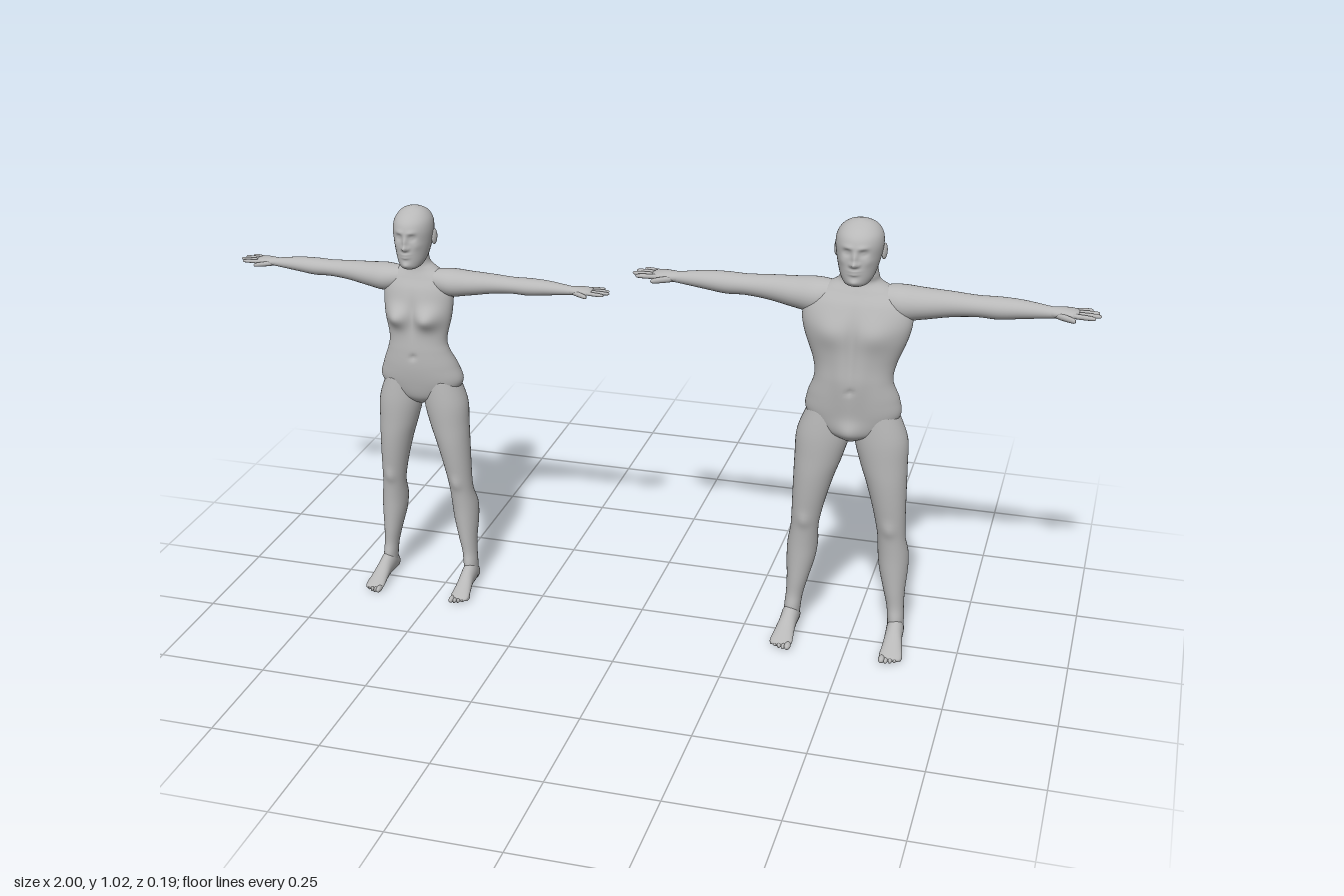
import * as THREE from 'three';

const skin = new THREE.MeshStandardMaterial({ color: 0xb8b8b8 });
skin.name = 'plain grey';

// Smooth interpolation between neighbouring cross-sections
function sample(rows, u) {
  const i = Math.min(Math.floor(u), rows.length - 2), t = u - i;
  const at = k => rows[Math.max(0, Math.min(rows.length - 1, k))];
  const [a, b, c, d] = [at(i - 1), at(i), at(i + 1), at(i + 2)];
  return b.map((_, k) => b[k] + 0.5 * t * (c[k] - a[k] + t * (2 * a[k] - 5 * b[k] + 4 * c[k] - d[k]
    + t * (3 * (b[k] - c[k]) + d[k] - a[k]))));
}

// Elliptical loft. A section is [position on axis, centre, half width, low edge, high edge].
// axis y: width x, edges z; axis x: width z, edges y; axis z: width x, edges y.
// A bump is [front 1 or back -1, x, y, radius x, radius y, height], mirrored in x.
function loft(name, axis, rows, { seg = 28, steps = 5, bumps = [] } = {}) {
  const place = { y: (t, a, b) => [a, t, b], x: (t, a, b) => [t, b, a], z: (t, a, b) => [a, b, t] }[axis];
  const pos = [], index = [], rings = (rows.length - 1) * steps;
  for (let i = 0; i <= rings; i++) {
    const [t, c, r, lo, hi] = sample(rows, i / steps);
    for (let j = 0; j < seg; j++) {
      const q = j / seg * Math.PI * 2, s = Math.sin(q);
      const p = place(t, c + Math.max(r, 0.0005) * Math.cos(q), (lo + hi) / 2 + (hi - lo) / 2 * s);
      for (const [side, x, y, rx, ry, h] of bumps) {
        const w = Math.sqrt(Math.max(0, side * s));
        const g = X => Math.exp(-(((X - x) / rx) ** 2) - ((p[1] - y) / ry) ** 2);
        p[2] += side * w * h * g(Math.abs(p[0]));
      }
      pos.push(...p);
    }
  }
  const flip = (axis === 'z' ? 1 : -1) * (rows[rows.length - 1][0] - rows[0][0]) < 0;
  const tri = (a, b, c) => flip ? index.push(a, c, b) : index.push(a, b, c);
  for (let i = 0; i < rings; i++) for (let j = 0; j < seg; j++) {
    const a = i * seg + j, b = i * seg + (j + 1) % seg;
    tri(a, b, a + seg);
    tri(b, b + seg, a + seg);
  }
  // Close both ends
  for (const [i, end] of [[0, 0], [rings, rows.length - 1]]) {
    const [t, c, , lo, hi] = rows[end], m = pos.length / 3;
    pos.push(...place(t, c, (lo + hi) / 2));
    for (let j = 0; j < seg; j++) {
      const a = i * seg + j, b = i * seg + (j + 1) % seg;
      i ? tri(a, b, m) : tri(b, a, m);
    }
  }
  const g = new THREE.BufferGeometry();
  g.setAttribute('position', new THREE.Float32BufferAttribute(pos, 3));
  g.setIndex(index);
  g.computeVertexNormals();
  const mesh = new THREE.Mesh(g, skin);
  mesh.name = name;
  return mesh;
}

function ball(name, x, y, z, rx, ry, rz) {
  const m = new THREE.Mesh(new THREE.SphereGeometry(1, 16, 12), skin);
  m.name = name;
  m.position.set(x, y, z);
  m.scale.set(rx, ry, rz);
  return m;
}

function head() {
  const g = new THREE.Group();
  g.name = 'head';
  g.add(loft('skull and face', 'y', [
    [0.876, 0, 0.012, 0.005, 0.03], [0.882, 0, 0.026, -0.02, 0.043], [0.895, 0, 0.036, -0.045, 0.047],
    [0.915, 0, 0.043, -0.062, 0.048], [0.94, 0, 0.049, -0.072, 0.047], [0.965, 0, 0.052, -0.077, 0.047],
    [0.985, 0, 0.049, -0.074, 0.04], [1.0, 0, 0.039, -0.062, 0.024], [1.01, 0, 0.024, -0.042, 0.004],
    [1.015, 0, 0.005, -0.024, -0.012]], {
    seg: 96, steps: 8, bumps: [
      [1, 0, 0.931, 0.007, 0.006, 0.012], [1, 0, 0.944, 0.006, 0.012, 0.007],   // nose
      [1, 0.009, 0.93, 0.004, 0.004, 0.003],                                  // nostrils
      [1, 0.018, 0.955, 0.009, 0.007, -0.008], [1, 0.018, 0.955, 0.006, 0.004, 0.004], // eyes
      [1, 0.016, 0.967, 0.012, 0.005, 0.003],                                 // brows
      [1, 0, 0.916, 0.012, 0.003, 0.004], [1, 0, 0.909, 0.011, 0.003, 0.004],   // lips
      [1, 0, 0.89, 0.012, 0.007, 0.005], [1, 0.03, 0.935, 0.01, 0.01, 0.003]],  // chin, cheeks
  }));
  for (const s of [1, -1]) {
    const ear = ball('ear', s * 0.052, 0.943, -0.026, 0.005, 0.018, 0.011);
    ear.rotation.set(-0.15, -s * 0.3, 0);
    g.add(ear);
  }
  return g;
}

function arm(s) {
  const g = new THREE.Group();
  g.name = s > 0 ? 'left arm' : 'right arm';
  const side = rows => rows.map(([x, ...rest]) => [s * x, ...rest]);
  g.add(loft('upper arm and forearm', 'x', side([
    [0.04, -0.038, 0.03, 0.8, 0.86], [0.09, -0.04, 0.043, 0.785, 0.865], [0.14, -0.046, 0.039, 0.79, 0.86],
    [0.2, -0.053, 0.031, 0.799, 0.855], [0.255, -0.055, 0.027, 0.804, 0.851], [0.3, -0.055, 0.028, 0.803, 0.852],
    [0.35, -0.055, 0.024, 0.809, 0.85], [0.405, -0.054, 0.016, 0.816, 0.843], [0.42, -0.054, 0.016, 0.818, 0.841]])));
  g.add(loft('palm', 'x', side([
    [0.4, -0.054, 0.013, 0.819, 0.841], [0.42, -0.055, 0.018, 0.818, 0.842], [0.445, -0.058, 0.024, 0.819, 0.841],
    [0.463, -0.06, 0.024, 0.821, 0.838], [0.47, -0.06, 0.016, 0.825, 0.835]]), { seg: 20, steps: 3 }));
  // Fingers from the front to the back of the hand: root z, tip z, tip x
  const fingers = [[-0.041, -0.035, 0.506], [-0.053, -0.053, 0.517], [-0.065, -0.071, 0.512], [-0.076, -0.087, 0.497]];
  const digit = (name, x0, z0, x1, z1, r, y) => g.add(loft(name, 'x', side([[0, 0.9], [0.45, 0.95], [0.9, 0.75], [1, 0.2]]
    .map(([t, k]) => [x0 + (x1 - x0) * t, z0 + (z1 - z0) * t, r * k, y - r * k, y + r * k])), { seg: 10, steps: 3 }));
  for (const [z0, z1, x1] of fingers) digit('finger', 0.455, z0, x1, z1, 0.0058, 0.83);
  digit('thumb', 0.42, -0.046, 0.466, -0.017, 0.0075, 0.827);
  return g;
}

function leg(s) {
  const g = new THREE.Group();
  g.name = s > 0 ? 'left leg' : 'right leg';
  const side = rows => rows.map(([t, c, ...rest]) => [t, s * c, ...rest]);
  g.add(loft('thigh and calf', 'y', side([
    [0.575, 0.055, 0.045, -0.07, 0.018], [0.51, 0.065, 0.06, -0.078, 0.022], [0.45, 0.074, 0.054, -0.072, 0.021],
    [0.4, 0.083, 0.046, -0.068, 0.019], [0.34, 0.092, 0.038, -0.062, 0.013], [0.29, 0.098, 0.033, -0.058, 0.006],
    [0.26, 0.101, 0.032, -0.062, 0.003], [0.22, 0.105, 0.035, -0.077, 0], [0.18, 0.108, 0.033, -0.075, -0.001],
    [0.13, 0.113, 0.025, -0.06, -0.002], [0.09, 0.118, 0.02, -0.052, -0.003], [0.06, 0.121, 0.019, -0.05, 0.002],
    [0.02, 0.123, 0.018, -0.047, 0.004]]), {
    seg: 36, bumps: [[1, 0.098, 0.292, 0.016, 0.018, 0.005], [-1, 0.098, 0.285, 0.015, 0.02, -0.003]],
  }));
  g.add(loft('foot', 'z', side([
    [-0.053, 0.122, 0.006, 0.008, 0.026], [-0.046, 0.122, 0.016, 0.001, 0.042], [-0.015, 0.123, 0.02, 0.003, 0.064],
    [0.015, 0.124, 0.02, 0.004, 0.054], [0.045, 0.126, 0.023, 0.002, 0.035], [0.07, 0.127, 0.026, 0, 0.022],
    [0.082, 0.127, 0.023, 0.001, 0.016], [0.087, 0.127, 0.012, 0.004, 0.012]]), { seg: 24, steps: 4 }));
  for (let i = 0; i < 5; i++)
    g.add(ball('toe', s * (0.109 + i * 0.0098), i ? 0.0065 : 0.008, 0.086 - i * i * 0.0011,
      i ? 0.0052 : 0.0075, i ? 0.0062 : 0.008, 0.014));
  return g;
}

// Trunk sections run from crotch to neck
const manTrunk = [
  [0.505, 0, 0.022, -0.05, 0.008], [0.525, 0, 0.075, -0.074, 0.024], [0.565, 0, 0.106, -0.078, 0.03],
  [0.605, 0, 0.103, -0.077, 0.035], [0.65, 0, 0.088, -0.062, 0.038], [0.69, 0, 0.093, -0.07, 0.037],
  [0.75, 0, 0.115, -0.08, 0.038], [0.79, 0, 0.122, -0.085, 0.034], [0.825, 0, 0.112, -0.085, 0.022],
  [0.853, 0, 0.08, -0.078, 0.006], [0.872, 0, 0.049, -0.068, -0.002], [0.89, 0, 0.042, -0.064, 0.004],
  [0.92, 0, 0.038, -0.06, 0.008]];
const womanTrunk = [
  [0.475, 0, 0.02, -0.05, 0], [0.495, 0, 0.07, -0.072, 0.016], [0.53, 0, 0.1, -0.077, 0.025],
  [0.57, 0, 0.091, -0.072, 0.03], [0.61, 0, 0.075, -0.055, 0.03], [0.64, 0, 0.07, -0.052, 0.028],
  [0.69, 0, 0.08, -0.064, 0.024], [0.73, 0, 0.084, -0.07, 0.02], [0.76, 0, 0.083, -0.071, 0.012],
  [0.785, 0, 0.072, -0.068, 0], [0.805, 0, 0.042, -0.062, -0.007], [0.822, 0, 0.027, -0.058, -0.006],
  [0.86, 0, 0.026, -0.054, 0.004]];
const manBumps = [
  [1, 0.05, 0.765, 0.04, 0.032, 0.009], [1, 0, 0.75, 0.009, 0.07, -0.005],          // chest
  [1, 0.022, 0.67, 0.018, 0.06, 0.004], [1, 0, 0.632, 0.007, 0.007, -0.005],        // belly, navel
  [-1, 0.045, 0.56, 0.036, 0.045, 0.014], [-1, 0, 0.55, 0.01, 0.05, -0.01],         // buttocks
  [-1, 0.06, 0.79, 0.035, 0.05, 0.007], [-1, 0, 0.73, 0.012, 0.1, -0.007],          // back, spine
  [1, 0, 0.53, 0.025, 0.025, 0.01]];
const womanBumps = [
  [1, 0.04, 0.695, 0.028, 0.024, 0.025], [1, 0, 0.7, 0.01, 0.04, -0.004],
  [1, 0, 0.6, 0.007, 0.007, -0.005],
  [-1, 0.045, 0.522, 0.036, 0.042, 0.024], [-1, 0, 0.52, 0.011, 0.045, -0.014],
  [-1, 0.045, 0.74, 0.026, 0.04, 0.006], [-1, 0, 0.69, 0.011, 0.09, -0.006]];

function figure(name, x, trunk, bumps, fit) {
  const g = new THREE.Group();
  g.name = name;
  g.position.x = x;
  g.add(loft('torso and neck', 'y', trunk, { seg: 72, steps: 8, bumps }));
  const fitted = (part, [sx, sy, sz, y]) => {
    part.scale.set(sx, sy, sz);
    part.position.y = y;
    g.add(part);
  };
  fitted(head(), fit.head);
  for (const s of [1, -1]) {
    fitted(arm(s), fit.arm);
    fitted(leg(s), fit.leg);
  }
  return g;
}

export function createModel() {
  const model = new THREE.Group();
  model.name = 'pair of standing figures';
  const same = [1, 1, 1, 0];
  model.add(figure('man', 0.48, manTrunk, manBumps, { head: same, arm: same, leg: same }));
  model.add(figure('woman', -0.545, womanTrunk, womanBumps,
    { head: [0.87, 1, 0.92, -0.06], arm: [0.88, 0.8, 0.85, 0.112], leg: [0.86, 0.94, 1, 0] }));
  return model;
}
